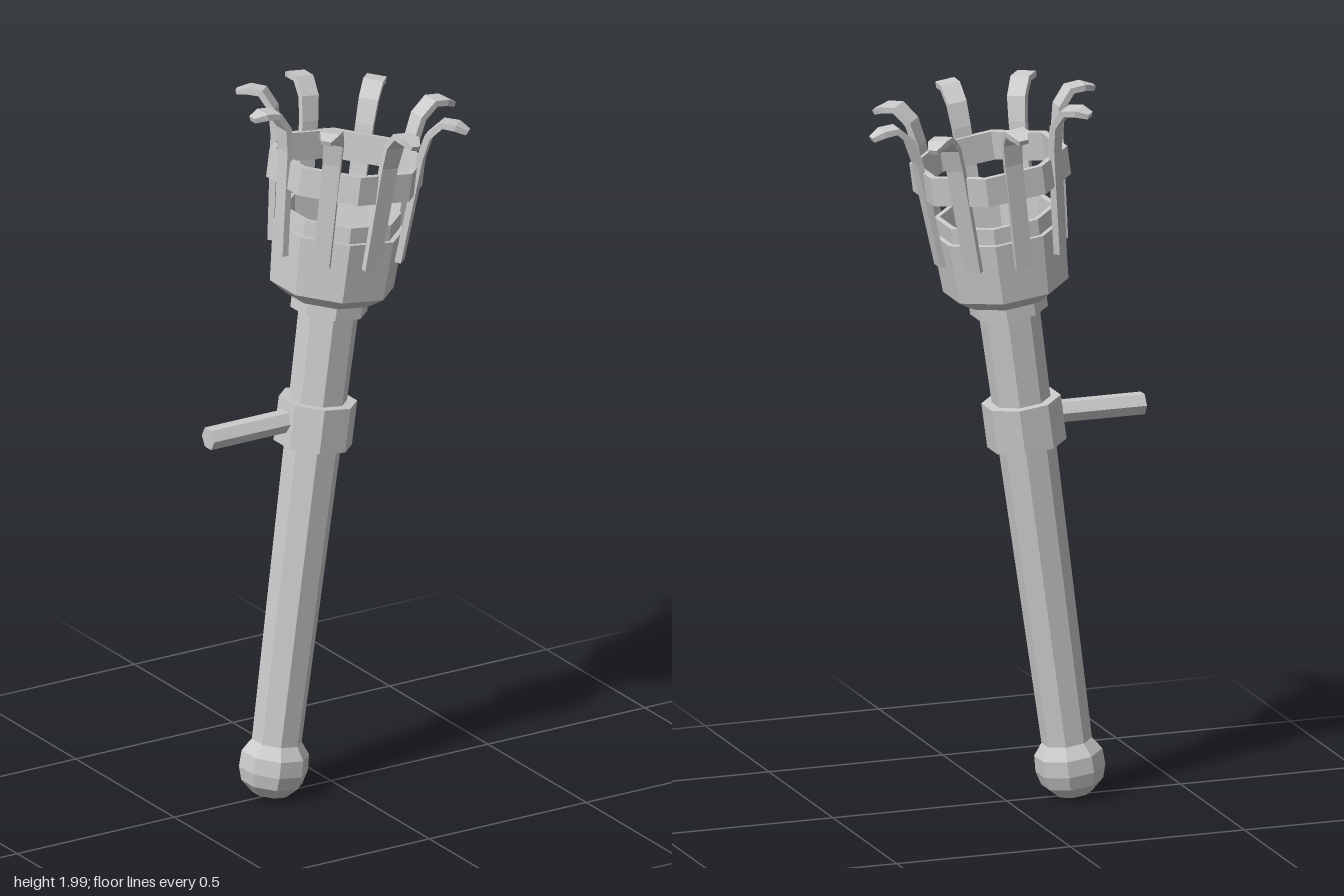
import * as THREE from 'three';

const material = new THREE.MeshStandardMaterial({ color: 0xcccccc, flatShading: true });

// Eight-sided turned part; profile holds [distance to flat, height], going up the outside
function turned(name, profile) {
  const points = profile.map(([a, y]) => new THREE.Vector2(a / Math.cos(Math.PI / 8), y));
  const mesh = new THREE.Mesh(new THREE.LatheGeometry(points, 8, Math.PI / 8), material);
  mesh.name = name;
  return mesh;
}

// Flat bar that follows a bent path: [radius, height, width, thickness] per section
function prongGeometry() {
  const path = [
    [0.177, 1.55, 0.046, 0.018], [0.203, 1.85, 0.05, 0.018], [0.217, 1.915, 0.054, 0.018],
    [0.252, 1.955, 0.056, 0.018], [0.29, 1.955, 0.055, 0.018], [0.322, 1.943, 0.026, 0.014],
  ];
  const n = path.length - 1;
  const geo = new THREE.BoxGeometry(1, 1, 1, 1, n, 1);
  const pos = geo.attributes.position;
  for (let i = 0; i < pos.count; i++) {
    const k = Math.round((pos.getY(i) + 0.5) * n);
    const [r, y, width, thick] = path[k];
    const a = path[Math.max(k - 1, 0)], b = path[Math.min(k + 1, n)];
    const dr = b[0] - a[0], dy = b[1] - a[1], len = Math.hypot(dr, dy);
    const off = pos.getZ(i) * thick;
    pos.setXYZ(i, pos.getX(i) * width, y - (off * dr) / len, r + (off * dy) / len);
  }
  geo.computeVertexNormals();
  return geo;
}

export function createModel() {
  const model = new THREE.Group();
  model.name = 'wallTorch';

  // Everything but the wall peg leans to one side
  const torch = new THREE.Group();
  torch.name = 'leaningTorch';
  torch.position.set(-0.193, 0.012, 0);
  torch.rotation.z = -0.135;
  model.add(torch);

  torch.add(
    turned('pommel', [[0, 0], [0.047, 0], [0.078, 0.032], [0.088, 0.07], [0.086, 0.115], [0.062, 0.152], [0, 0.152]]),
    turned('shaft', [[0, 0.1], [0.063, 0.1], [0.077, 1.4], [0, 1.4]]),
    turned('middleCollar', [[0, 1.0], [0.1, 1.0], [0.1, 1.125], [0, 1.125]]),
    turned('topCollar', [[0, 1.38], [0.098, 1.38], [0.098, 1.43], [0, 1.43]]),
    // Cup with a stepped lip and a low mound inside
    turned('cup', [[0, 1.42], [0.115, 1.42], [0.158, 1.452], [0.168, 1.62], [0.155, 1.62],
      [0.155, 1.665], [0.141, 1.665], [0.128, 1.57], [0, 1.595]]),
    // Open hoop, closed all round its section
    turned('upperHoop', [[0.182, 1.745], [0.199, 1.745], [0.199, 1.825], [0.182, 1.825], [0.182, 1.745]]),
  );

  // Crown of eight out-curling prongs
  const geo = prongGeometry();
  for (let i = 0; i < 8; i++) {
    const prong = new THREE.Mesh(geo, material);
    prong.name = 'prong' + (i + 1);
    prong.rotation.y = (i * Math.PI) / 4;
    torch.add(prong);
  }

  // Level six-sided peg for the wall
  const peg = new THREE.Mesh(new THREE.CylinderGeometry(0.032, 0.032, 0.33, 6), material);
  peg.name = 'wallPeg';
  peg.rotation.z = Math.PI / 2;
  peg.position.set(-0.227, 1.083, 0);
  model.add(peg);

  return model;
}
